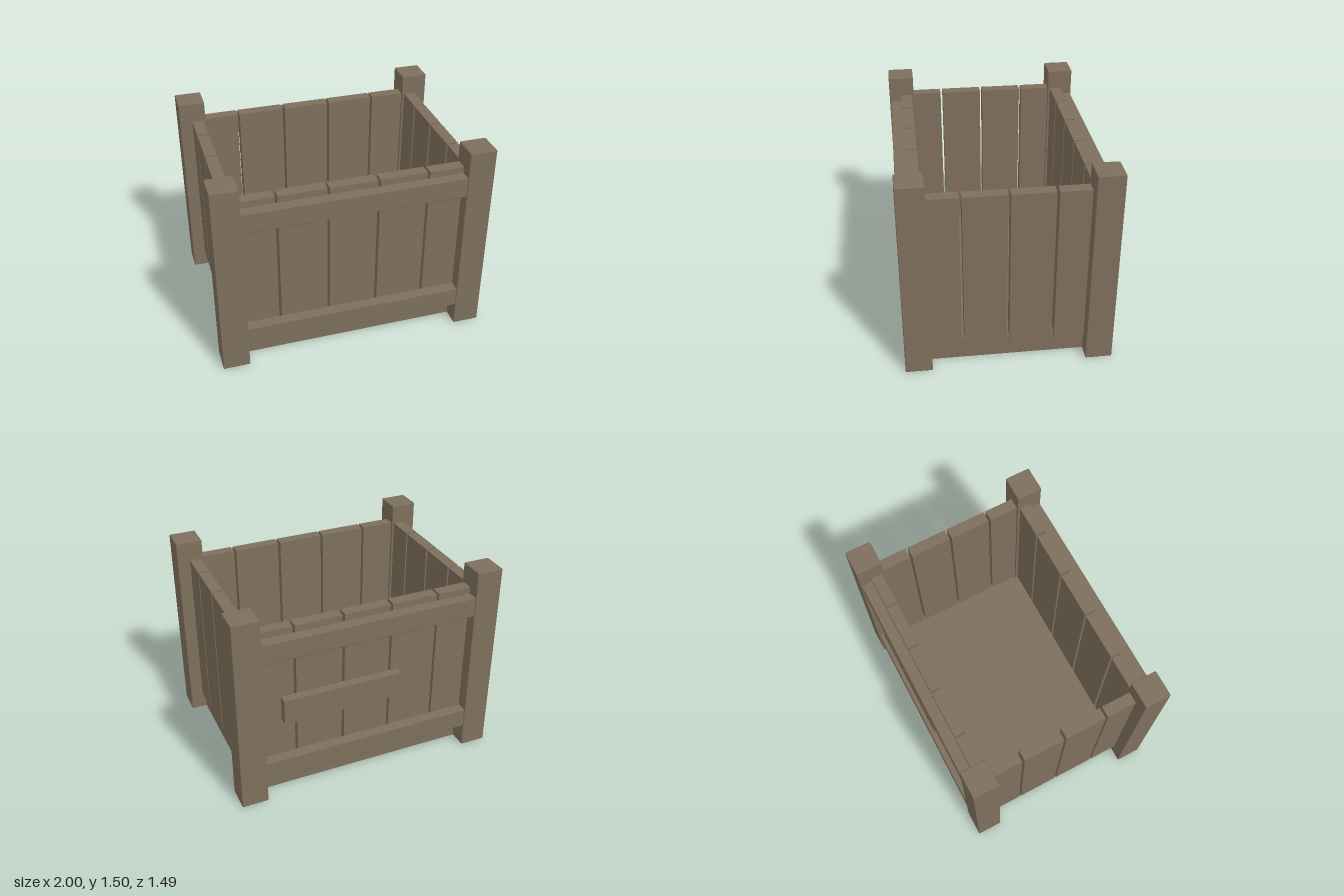
import * as THREE from 'three';
import { RoundedBoxGeometry } from 'three/addons/geometries/RoundedBoxGeometry.js';

export function createModel() {
  const root = new THREE.Group();
  root.name = 'planterBox';
  const wood = new THREE.MeshStandardMaterial({ color: 0x7e6f5c });
  wood.name = 'weatheredWood';

  // Box given by its extents on each axis; a bevel softens the edges
  function box(name, [x0, x1], [y0, y1], [z0, z1], bevel = 0) {
    const size = [x1 - x0, y1 - y0, z1 - z0];
    const geometry = bevel
      ? new RoundedBoxGeometry(...size, 1, bevel)
      : new THREE.BoxGeometry(...size);
    const mesh = new THREE.Mesh(geometry, wood);
    mesh.name = name;
    mesh.position.set((x0 + x1) / 2, (y0 + y1) / 2, (z0 + z1) / 2);
    root.add(mesh);
  }
  const span = (s, a, b) => (s > 0 ? [a, b] : [-b, -a]);

  // Solid base, set in behind the board faces
  box('base', [-0.88, 0.88], [0.002, 0.175], [-0.615, 0.615]);

  const boardY = [0.13, 1.35];
  for (const s of [1, -1]) {
    // Corner posts
    for (const t of [1, -1]) {
      box('cornerPost', span(s, 0.803, 1), [0, 1.5], span(t, 0.553, 0.747), 0.007);
    }

    // Front and back boards
    for (let i = -2; i <= 2; i++) {
      const x = i * 0.362;
      box(s > 0 ? 'frontBoard' : 'backBoard', [x - 0.172, x + 0.172], boardY, span(s, 0.572, 0.657));
    }

    // Side boards
    for (let i = 0; i < 4; i++) {
      const z = (i - 1.5) * 0.324;
      box(s > 0 ? 'leftBoard' : 'rightBoard', span(s, 0.82, 0.905), boardY, [z - 0.153, z + 0.153]);
    }

    // Horizontal rails across the front and back
    for (const y of [0.175, 1.15]) {
      box(s > 0 ? 'frontRail' : 'backRail', [-0.82, 0.82], [y, y + 0.153], span(s, 0.655, 0.739), 0.006);
    }
  }

  // Short plank fixed to the back boards
  box('backPlank', [-0.245, 0.65], [0.62, 0.81], [-0.722, -0.652]);

  return root;
}
